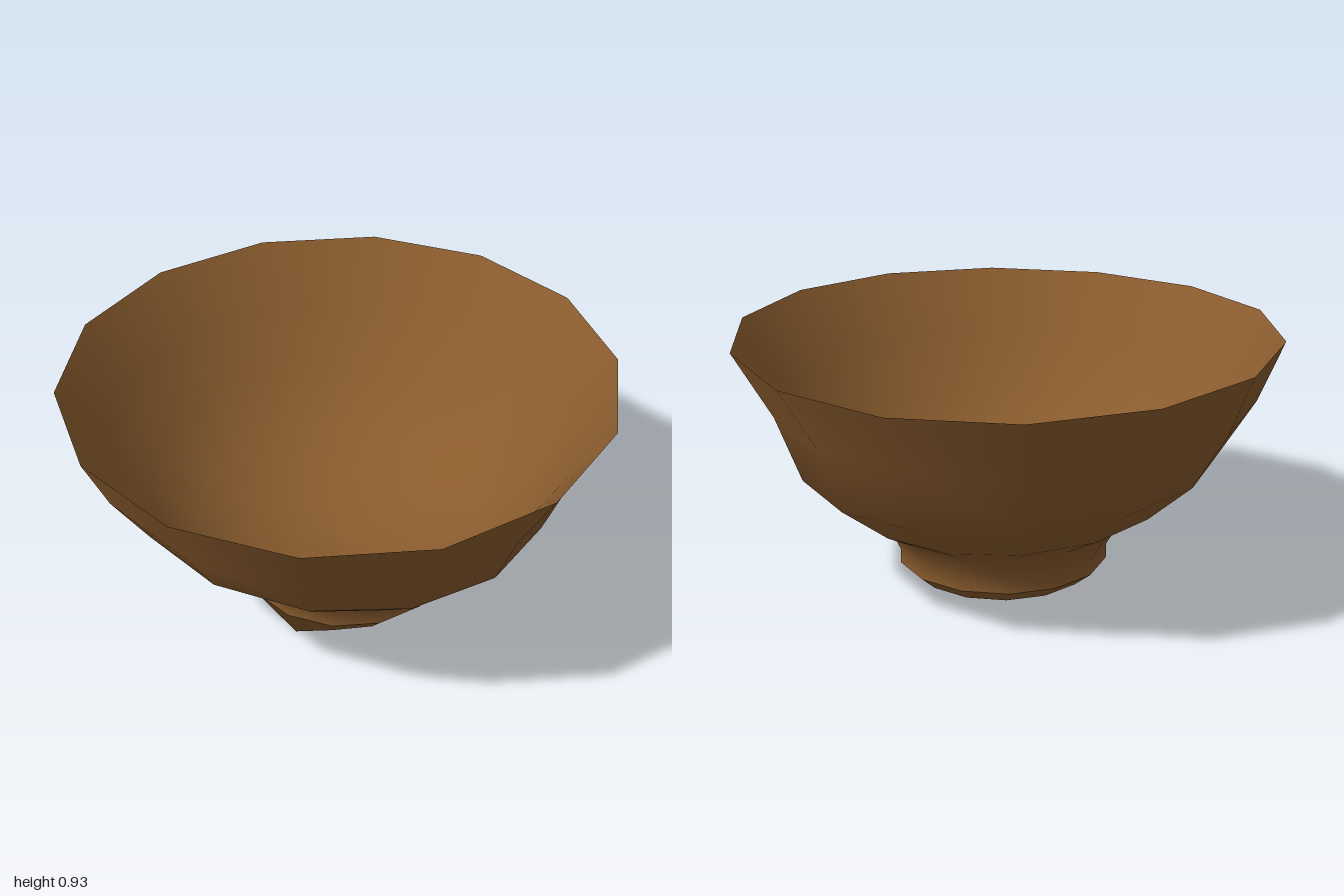
import * as THREE from 'three';

const SIDES = 14;
const START = THREE.MathUtils.degToRad(-7);

export function createModel() {
  const group = new THREE.Group();
  group.name = 'bowl';
  const wood = new THREE.MeshStandardMaterial({ color: 0x8a5c2e, side: THREE.DoubleSide });
  wood.name = 'brown wood';

  // Turns a profile of [radius, height, shift, drop]. Each ring is shifted towards -x / +z
  // and tilted down towards +x / -z, which gives the hand-shaped irregularity.
  function turn(name, profile, bend) {
    const points = profile.map(([r, y]) => new THREE.Vector2(r, y));
    const geometry = new THREE.LatheGeometry(points, SIDES, START);
    const p = geometry.attributes.position;
    for (let i = 0; i < p.count; i++) {
      const [r, , shift = 0, drop = 0] = profile[i % profile.length];
      const v = new THREE.Vector3().fromBufferAttribute(p, i);
      if (r > 0) v.y -= drop * (v.x - v.z) / r;
      v.x -= shift;
      v.z += shift;
      if (bend) bend(v, r);
      p.setXYZ(i, v.x, v.y, v.z);
    }
    const mesh = new THREE.Mesh(geometry, wood);
    mesh.name = name;
    group.add(mesh);
  }

  // Uneven standing edge: higher at the back, one corner pulled out at the front
  const bendFoot = (v) => {
    if (v.y > 0.05) return;
    if (v.z > 0.25 && Math.abs(v.x + 0.03) < 0.05) v.set(-0.01, 0, 0.37);
    else v.set(v.x, v.y - 0.03 * v.z, v.z * 1.06);
  };

  // Slightly oval, wavy rim
  const bendRim = (v, r) => {
    if (r < 1) return;
    v.set(v.x * 0.988, v.y - 0.012 * v.z * v.z, v.z + 0.025 * v.x * v.x);
  };

  // Hollow underside of the foot
  turn('footCeiling', [[0, 0.15], [0.27, 0.15]]);
  turn('footInnerWall', [[0.27, 0.15], [0.3, 0.09], [0.325, 0.02, -0.01]], bendFoot);
  // Sloping edge the bowl stands on
  turn('footBevel', [[0.325, 0.02, -0.01], [0.39, 0.075, -0.01]], bendFoot);
  // Foot flaring into the outer wall
  turn('outerWall', [
    [0.39, 0.075, -0.01], [0.39, 0.13, -0.01], [0.445, 0.234, 0, 0.012], [0.585, 0.316, 0.018, 0.025],
    [0.768, 0.475, 0.01, 0.03], [0.878, 0.695, 0.024, 0.012], [1.003, 0.928],
  ], bendRim);
  // Inside surface: a deeper, rounder hollow meeting the outer wall in a sharp rim
  turn('innerWall', [
    [1.003, 0.928], [0.848, 0.7, 0.006], [0.705, 0.485, 0.004, 0.01], [0.53, 0.325, 0.004, 0.01],
    [0.35, 0.23], [0.17, 0.185], [0, 0.172],
  ], bendRim);
  return group;
}
